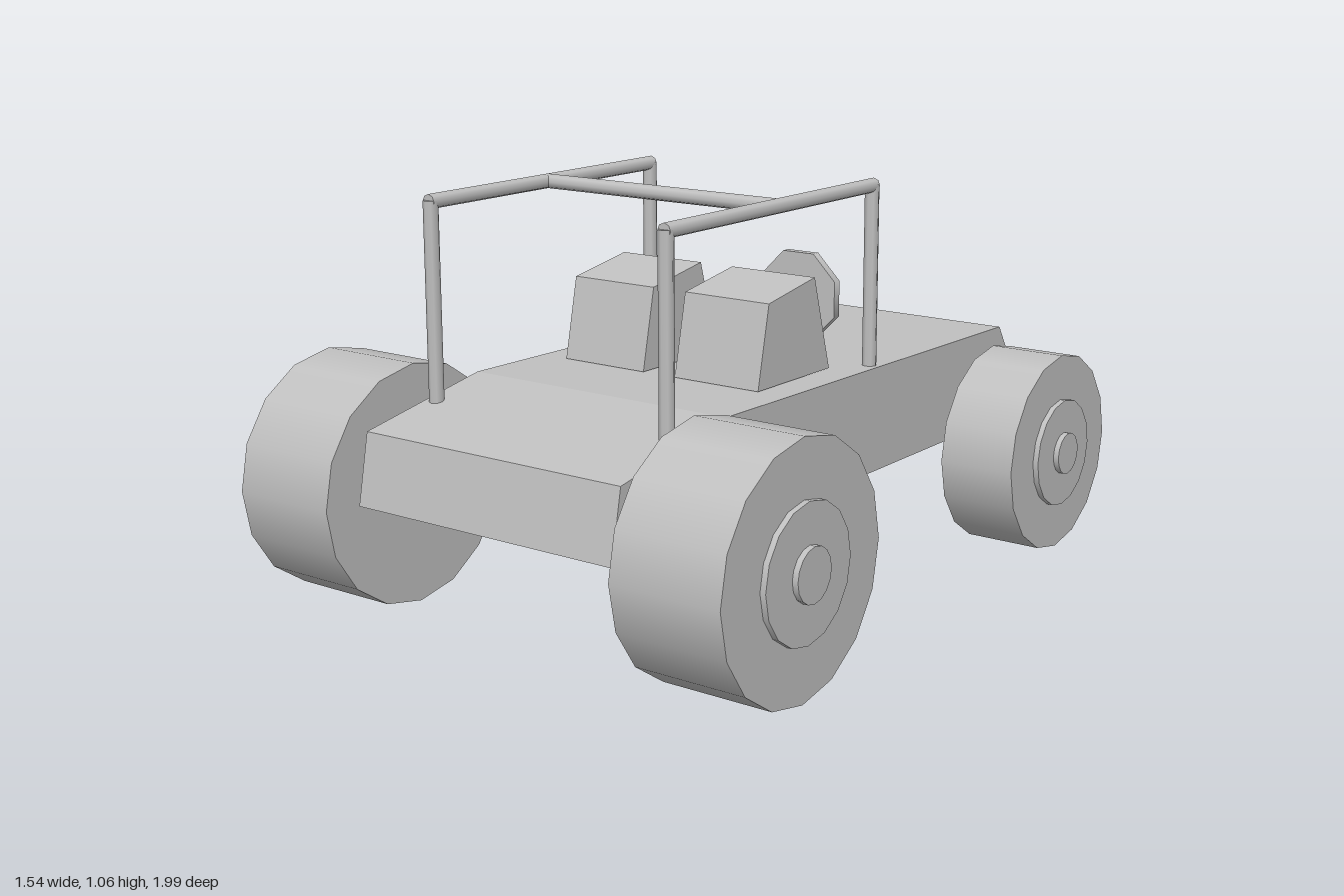
import * as THREE from 'three';

const grey = new THREE.MeshStandardMaterial({ color: 0xc0c0c0 });
grey.name = 'plainGrey';

function add(parent, name, geometry) {
  const mesh = new THREE.Mesh(geometry, grey);
  mesh.name = name;
  parent.add(mesh);
  return mesh;
}

// Side profile of [z, y] points, extruded across x and centred on x = 0
function sideProfile(points, width) {
  const shape = new THREE.Shape(points.map(([z, y]) => new THREE.Vector2(z, y)));
  return new THREE.ExtrudeGeometry(shape, { depth: width, bevelEnabled: false })
    .translate(0, 0, -width / 2)
    .rotateY(-Math.PI / 2);
}

// Round bar between two points
function bar(parent, name, from, to, radius = 0.019) {
  const a = new THREE.Vector3(...from);
  const b = new THREE.Vector3(...to);
  const dir = b.clone().sub(a);
  const mesh = add(parent, name, new THREE.CylinderGeometry(radius, radius, dir.length(), 8));
  mesh.position.copy(a).add(b).multiplyScalar(0.5);
  mesh.quaternion.setFromUnitVectors(new THREE.Vector3(0, 1, 0), dir.normalize());
}

// Disc lying across x, from inner to outer distance
function axleDisc(parent, name, side, inner, outer, radius) {
  const geometry = new THREE.CylinderGeometry(radius, radius, outer - inner, 16).rotateZ(-Math.PI / 2);
  add(parent, name, geometry).position.x = side * (inner + outer) / 2;
}

function wheel(parent, name, side, w) {
  const group = new THREE.Group();
  group.name = name;
  group.position.set(0, w.radius, w.z);
  axleDisc(group, 'tyre', side, w.inner, w.outer, w.radius);
  axleDisc(group, 'rim', side, w.outer - 0.01, w.outer + 0.015, w.rim);
  axleDisc(group, 'hubCap', side, w.outer, w.outer + 0.03, w.hub);
  parent.add(group);
}

export function createModel() {
  const model = new THREE.Group();
  model.name = 'buggy';

  // Wedge-ended hull
  add(model, 'body', sideProfile([
    [-0.99, 0.29], [0.48, 0.287], [0.93, 0.32], [0.895, 0.5], [0.5, 0.573], [-0.82, 0.56],
  ], 0.785));

  const frontWheel = { z: 0.685, radius: 0.312, inner: 0.437, outer: 0.738, rim: 0.168, hub: 0.067 };
  const rearWheel = { z: -0.675, radius: 0.27, inner: 0.453, outer: 0.664, rim: 0.147, hub: 0.057 };

  for (const side of [1, -1]) {
    const label = side > 0 ? 'left' : 'right';
    wheel(model, label + 'FrontWheel', side, frontWheel);
    wheel(model, label + 'RearWheel', side, rearWheel);

    // Tapered seat block
    const seat = sideProfile([[0.25, 0.572], [0.205, 0.785], [0.003, 0.82], [-0.067, 0.572]], 0.257);
    add(model, label + 'Seat', seat).position.x = side * 0.179;

    // Side hoop of the roll cage
    const cage = new THREE.Group();
    cage.name = label + 'RollCage';
    const x = side * 0.36;
    bar(cage, 'frontPost', [x, 0.53, 0.685], [x, 1.04, 0.685]);
    bar(cage, 'rearPost', [x, 0.55, -0.178], [x, 1.04, -0.178]);
    bar(cage, 'topRail', [x, 1.037, -0.185], [x, 1.037, 0.692]);
    model.add(cage);
  }

  // Bar joining the two hoops
  bar(model, 'crossBar', [-0.36, 1.037, 0.25], [0.36, 1.037, 0.25]);

  // Upright eight-sided disc on the rear deck
  const disc = new THREE.CylinderGeometry(0.13, 0.13, 0.025, 8).rotateY(Math.PI / 8).rotateX(Math.PI / 2);
  add(model, 'rearDisc', disc).position.set(0, 0.677, -0.39);

  return model;
}
